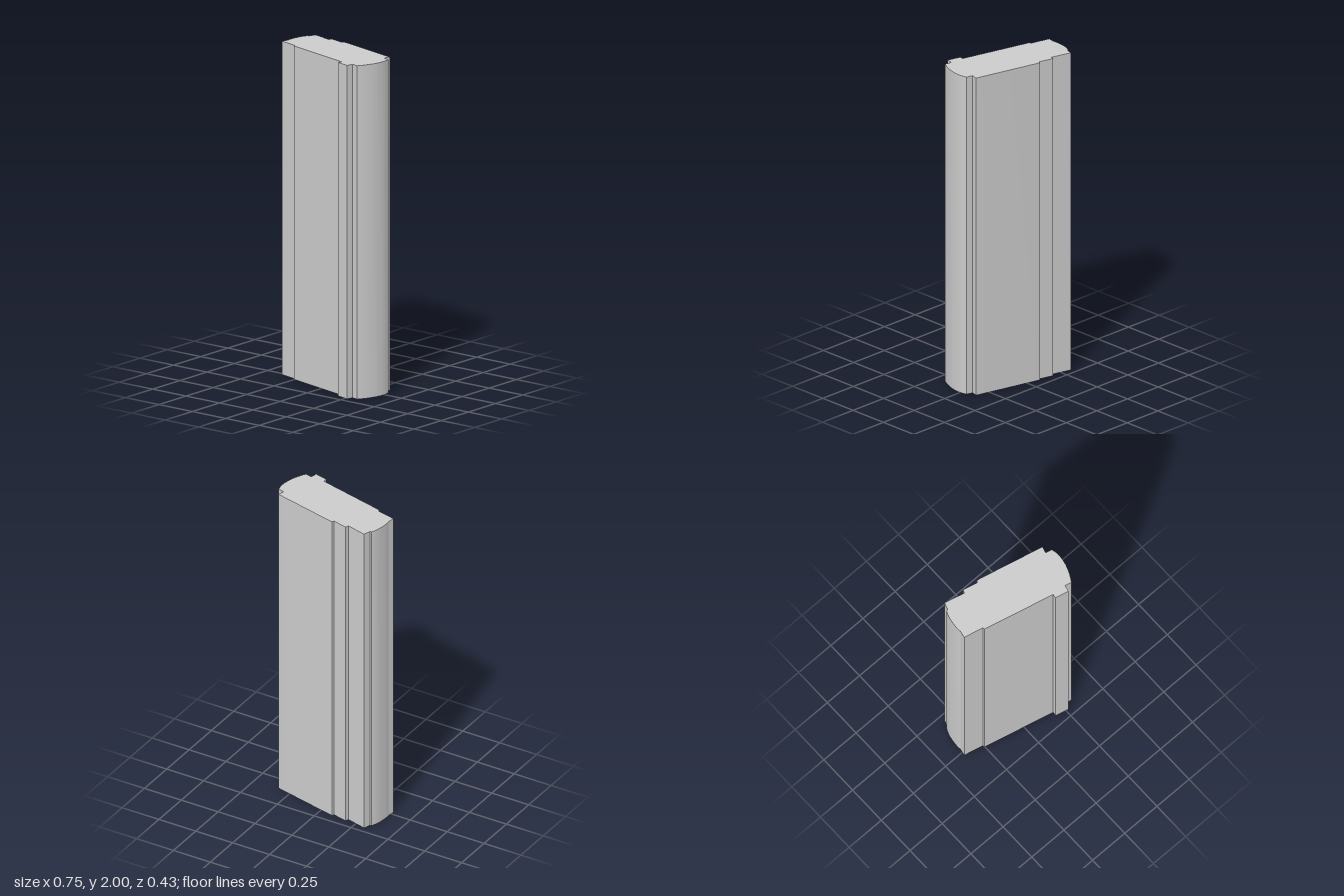
import * as THREE from 'three';
import { toCreasedNormals } from 'three/addons/utils/BufferGeometryUtils.js';

const HEIGHT = 2;

export function createModel() {
  // Moulding cross-section, seen from above; z is negated for the shape plane
  const shape = new THREE.Shape();
  const lines = (pts) => pts.forEach(([x, z]) => shape.lineTo(x, -z));
  const curve = (pts) => shape.splineThru(pts.map(([x, z]) => new THREE.Vector2(x, -z)));

  // Back face with its two small grooves
  shape.moveTo(-0.317, 0.215);
  lines([
    [-0.19, -0.182], [-0.185, -0.203], [-0.092, -0.18], [-0.087, -0.192],
    [-0.06, -0.188], [0.337, -0.094], [0.326, -0.054], [0.366, -0.044],
  ]);
  // Rounded nose on the left edge
  curve([[0.373, -0.01], [0.373, 0.025], [0.366, 0.07], [0.352, 0.112], [0.335, 0.15], [0.317, 0.181]]);
  // Front face: bead, flat panel and stepped lip
  lines([
    [0.275, 0.172], [0.266, 0.212], [0.183, 0.191], [0.187, 0.167],
    [-0.253, 0.061], [-0.254, 0.049], [-0.374, 0.021], [-0.366, -0.022],
  ]);
  // Shallow bulge on the right edge
  curve([[-0.368, -0.05], [-0.363, -0.1], [-0.354, -0.14], [-0.341, -0.17]]);
  lines([[-0.331, -0.171], [-0.317, -0.215]]);

  // Straight extrusion stood upright
  const extruded = new THREE.ExtrudeGeometry(shape, { depth: HEIGHT, bevelEnabled: false, curveSegments: 2 });
  extruded.rotateX(-Math.PI / 2);
  const moulding = new THREE.Mesh(
    toCreasedNormals(extruded, 0.25),
    new THREE.MeshStandardMaterial({ color: 0xcccccc })
  );
  moulding.name = 'moulding';

  const group = new THREE.Group();
  group.name = 'mouldedPost';
  group.add(moulding);
  return group;
}
